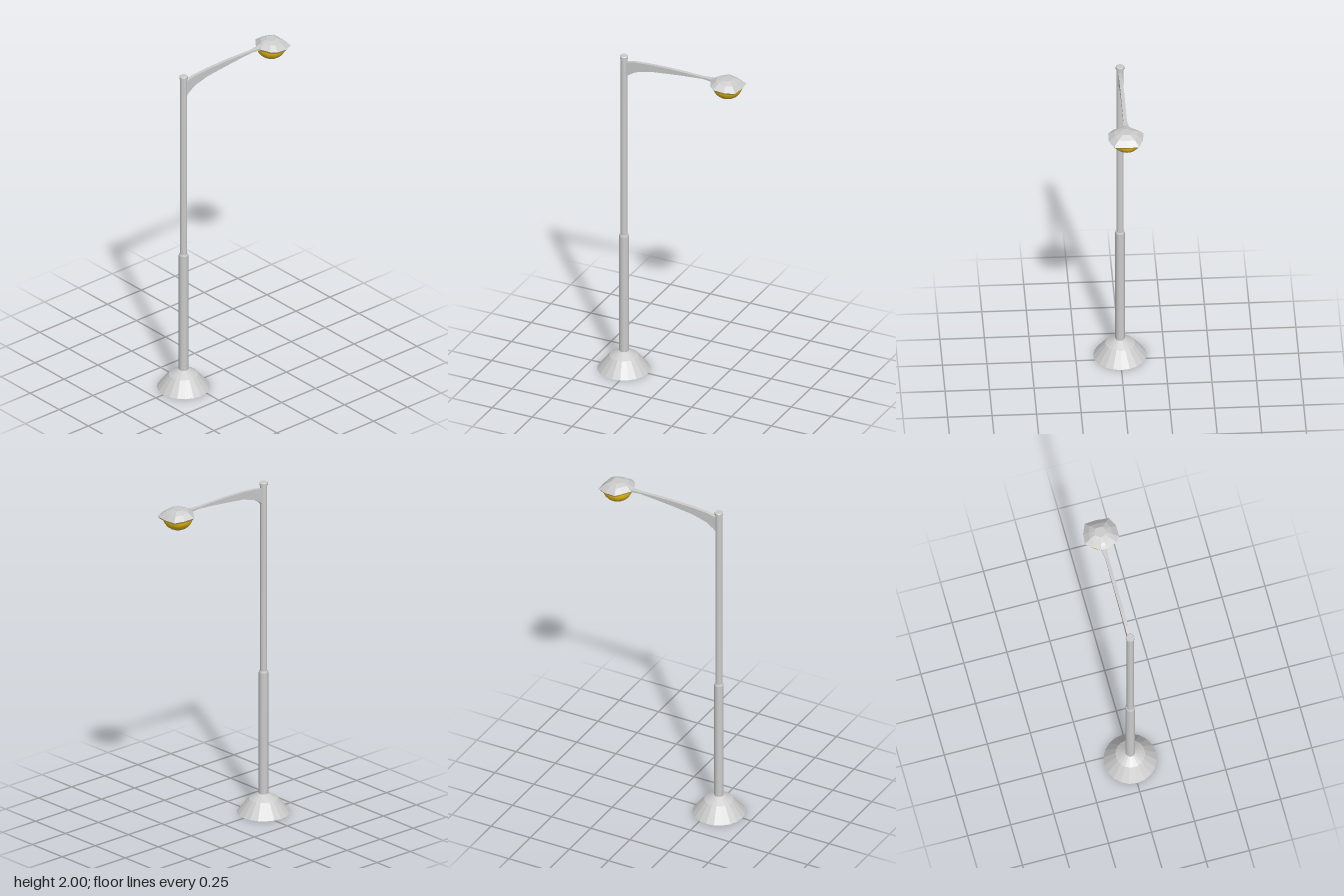
import * as THREE from 'three';

const POLE_X = -0.296;
const HEAD_X = 0.352;

// Skins equal-length rings of [x, y, z] points and closes both ends with fans.
function loft(rings) {
  const n = rings[0].length;
  const pos = rings.flat(2);
  const index = [];
  for (let r = 0; r < rings.length - 1; r++) {
    for (let i = 0; i < n; i++) {
      const a = r * n + i, b = r * n + (i + 1) % n;
      index.push(a, b, b + n, a, b + n, a + n);
    }
  }
  const last = (rings.length - 1) * n;
  for (let i = 1; i < n - 1; i++) {
    index.push(0, i + 1, i, last, last + i, last + i + 1);
  }
  const geo = new THREE.BufferGeometry();
  geo.setAttribute('position', new THREE.Float32BufferAttribute(pos, 3));
  geo.setIndex(index);
  const flat = geo.toNonIndexed();
  flat.computeVertexNormals();
  return flat;
}

export function createModel() {
  const group = new THREE.Group();
  const grey = new THREE.MeshStandardMaterial({ color: 0xcccccc, flatShading: true, side: THREE.DoubleSide });
  const yellow = new THREE.MeshStandardMaterial({ color: 0xf2c200, side: THREE.DoubleSide });

  const add = (name, geo, material, x = 0, y = 0, z = 0) => {
    const mesh = new THREE.Mesh(geo, material);
    mesh.name = name;
    mesh.position.set(x, y, z);
    group.add(mesh);
  };
  const lathe = (points, sides) =>
    new THREE.LatheGeometry(points.map(([r, y]) => new THREE.Vector2(r, y)), sides);

  // Domed foot with a closed underside
  add('base', lathe([[0, 0], [0.15, 0], [0.083, 0.084], [0.03, 0.114], [0, 0.114]], 20), grey, POLE_X);

  // Thick lower tube, thin upper tube and the small cap on top
  add('lowerPole', lathe([[0.027, 0.1], [0.027, 0.843], [0.024, 0.853], [0, 0.853]], 20), grey, POLE_X);
  add('upperPole', lathe([[0.02, 0.84], [0.02, 1.975]], 20), grey, POLE_X);
  add('poleCap', lathe([[0, 1.972], [0.024, 1.972], [0.024, 1.986], [0.021, 1.99], [0, 1.99]], 20), grey, POLE_X);

  // Tapering arm, flaring slightly where it enters the lamp head: [x, bottom, top, half width]
  const armSections = [
    [-0.285, 1.855, 1.953, 0.01], [-0.265, 1.875, 1.958, 0.01], [-0.22, 1.905, 1.966, 0.01],
    [-0.13, 1.93, 1.973, 0.01], [0, 1.945, 1.976, 0.01], [0.1, 1.955, 1.975, 0.01],
    [0.2, 1.963, 1.972, 0.01], [0.255, 1.962, 1.974, 0.016], [0.325, 1.968, 1.995, 0.003],
  ];
  add('arm', loft(armSections.map(([x, lo, hi, w]) =>
    [[x, lo, -w], [x, hi, -w], [x, hi, w], [x, lo, w]].reverse())), grey);

  // Faceted hood: one irregular outline, shrunk towards the crown
  const outline = [
    [0.255, 0.016], [0.28, 0.075], [0.312, 0.102], [0.38, 0.102], [0.435, 0.075], [0.443, 0],
    [0.438, -0.065], [0.38, -0.09], [0.318, -0.097], [0.29, -0.065], [0.255, -0.016],
  ];
  const hoodRing = (scale, y, tilt) => outline.map(([x, z]) => [
    HEAD_X + (x - HEAD_X) * scale, y - (x - HEAD_X) * tilt, z * scale,
  ]);
  add('lampHood', loft([
    hoodRing(0.9, 1.946, 0.05), hoodRing(1, 1.96, 0.07),
    hoodRing(0.66, 1.986, 0.05), hoodRing(0.32, 1.999, 0),
  ]), grey);

  // Bulging lamp glass under the hood
  const glass = new THREE.SphereGeometry(0.085, 20, 8, 0, Math.PI * 2, Math.PI / 2, Math.PI / 2);
  glass.scale(1, 0.9, 1);
  add('lampGlass', glass, yellow, HEAD_X, 1.954);

  return group;
}
